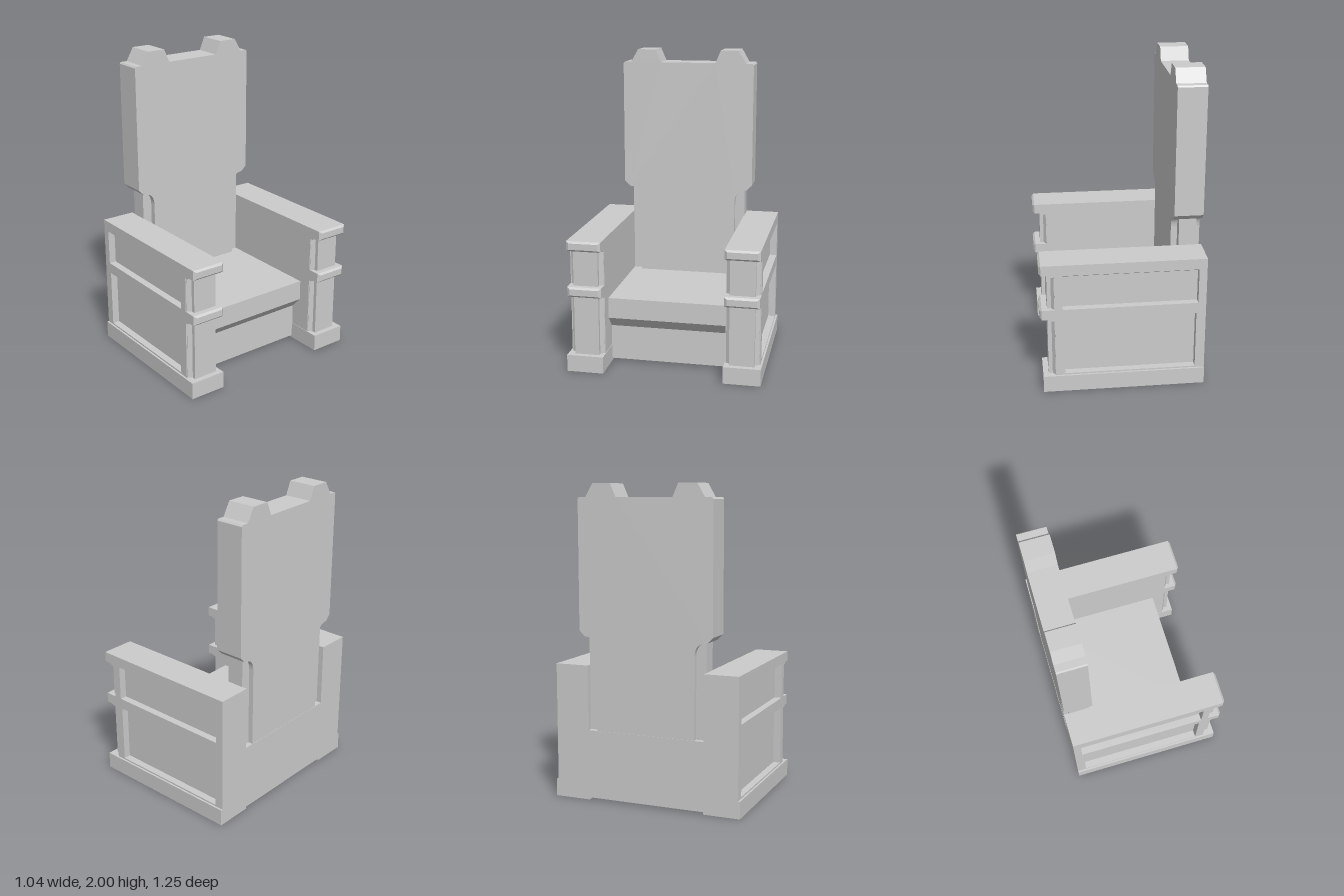
import * as THREE from 'three';

const material = new THREE.MeshStandardMaterial({ color: 0xcccccc, flatShading: true });

function add(parent, name, geometry) {
  const mesh = new THREE.Mesh(geometry, material);
  mesh.name = name;
  parent.add(mesh);
  return mesh;
}

const toShape = (pts) => new THREE.Shape(pts.map(([a, b]) => new THREE.Vector2(a, b)));
const extrude = (shape, depth) =>
  new THREE.ExtrudeGeometry(shape, { depth, bevelEnabled: false, curveSegments: 8 });

// Box given by its limits on each axis
function box(x0, x1, y0, y1, z0, z1) {
  return new THREE.BoxGeometry(x1 - x0, y1 - y0, Math.abs(z1 - z0))
    .translate((x0 + x1) / 2, (y0 + y1) / 2, (z0 + z1) / 2);
}

// Prisms running along x (outline in -z, y), y (outline in x, -z) and z (outline in x, y)
const prismX = (shape, x0, x1) => extrude(shape, x1 - x0).rotateY(Math.PI / 2).translate(x0, 0, 0);
const prismY = (shape, y0, y1) => extrude(shape, y1 - y0).rotateX(-Math.PI / 2).translate(0, y0, 0);
const prismZ = (shape, z0, z1) => extrude(shape, Math.abs(z1 - z0)).translate(0, 0, Math.min(z0, z1));

const rect = (x0, x1, y0, y1) => [[x0, y0], [x1, y0], [x1, y1], [x0, y1]];

// Front tip of a ledge: a block whose +x face is drawn in
function bevelTip(x0, x1, y0, y1, z0, z1, inset) {
  const g = box(x0, x1, y0, y1, z0, z1);
  const p = g.attributes.position;
  const cy = (y0 + y1) / 2, cz = (z0 + z1) / 2;
  for (let i = 0; i < p.count; i++) {
    if (p.getX(i) < (x0 + x1) / 2) continue;
    p.setY(i, p.getY(i) - Math.sign(p.getY(i) - cy) * inset);
    p.setZ(i, p.getZ(i) - Math.sign(p.getZ(i) - cz) * inset * 1.5);
  }
  g.computeVertexNormals();
  return g;
}

// One arm, s = 1 for +z and -1 for -z
function createArm(s) {
  const arm = new THREE.Group();
  arm.name = s > 0 ? 'armNear' : 'armFar';
  const inner = 0.39 * s, panel = 0.565 * s, outer = 0.612 * s;

  add(arm, 'armPlinth', box(-0.52, 0.505, 0, 0.11, 0.387 * s, 0.625 * s));
  add(arm, 'armCore', box(-0.52, 0.425, 0.11, 0.87, inner, panel));

  // Outer frame around two sunken panels
  const frame = toShape(rect(-0.52, 0.425, 0.11, 0.87));
  frame.holes.push(toShape(rect(-0.47, 0.375, 0.57, 0.80)), toShape(rect(-0.46, 0.365, 0.12, 0.50)));
  add(arm, 'armFrame', prismZ(frame, panel, outer));
  const slope = toShape([[-outer, 0.80], [-panel, 0.80], [-panel, 0.775]]);
  add(arm, 'panelSlope', prismX(slope, -0.47, 0.375));

  // Front column with splayed sides
  const mid = -0.5 * s;
  const column = toShape([
    [0.42, mid - 0.105], [0.427, mid - 0.105], [0.445, mid - 0.08], [0.47, mid - 0.08],
    [0.47, mid + 0.08], [0.445, mid + 0.08], [0.427, mid + 0.105], [0.42, mid + 0.105],
  ]);
  add(arm, 'armColumn', prismY(column, 0.11, 0.87));

  // Two ledges with bevelled fronts
  for (const y of [0.505, 0.805]) {
    const top = y + 0.065;
    const ledge = toShape([
      [0.42, y - 0.012], [0.445, y - 0.012], [0.465, y], [0.505, y], [0.505, top], [0.42, top],
    ]);
    add(arm, 'armLedge', prismZ(ledge, inner, outer));
    add(arm, 'ledgeTip', bevelTip(0.505, 0.518, y, top, inner, outer, 0.012));
  }
  return arm;
}

// Tall back with shoulders, two crest blocks and a waisted lower part
function createBack() {
  const half = [
    [0.186, 1.915], [0.223, 2.0], [0.343, 2.0], [0.392, 1.915], [0.437, 1.915],
    [0.445, 1.905], [0.445, 1.09], [0.41, 1.055], [0.39, 1.052],
  ];
  const shape = new THREE.Shape();
  shape.moveTo(-0.328, 0.45);
  shape.lineTo(0.328, 0.45);
  shape.lineTo(0.328, 0.975);
  shape.quadraticCurveTo(0.333, 1.045, 0.39, 1.052);
  [...half].reverse().forEach(([z, y]) => shape.lineTo(z, y));
  half.forEach(([z, y]) => shape.lineTo(-z, y));
  shape.quadraticCurveTo(-0.333, 1.045, -0.328, 0.975);
  shape.closePath();
  return prismX(shape, -0.518, -0.335);
}

export function createModel() {
  const chair = new THREE.Group();
  chair.name = 'highBackChair';

  for (const s of [1, -1]) {
    chair.add(createArm(s));
    // Thin filler between back and arm
    add(chair, 'backFiller', box(-0.485, -0.375, 0.45, 1.055, 0.32 * s, 0.392 * s));
  }

  // Seat block with an undercut front
  const seat = toShape([
    [-0.52, 0.015], [0.27, 0.015], [0.27, 0.245], [0.34, 0.32], [0.34, 0.455], [-0.52, 0.455],
  ]);
  add(chair, 'seat', prismZ(seat, -0.392, 0.392));
  add(chair, 'backrest', createBack());
  return chair;
}
